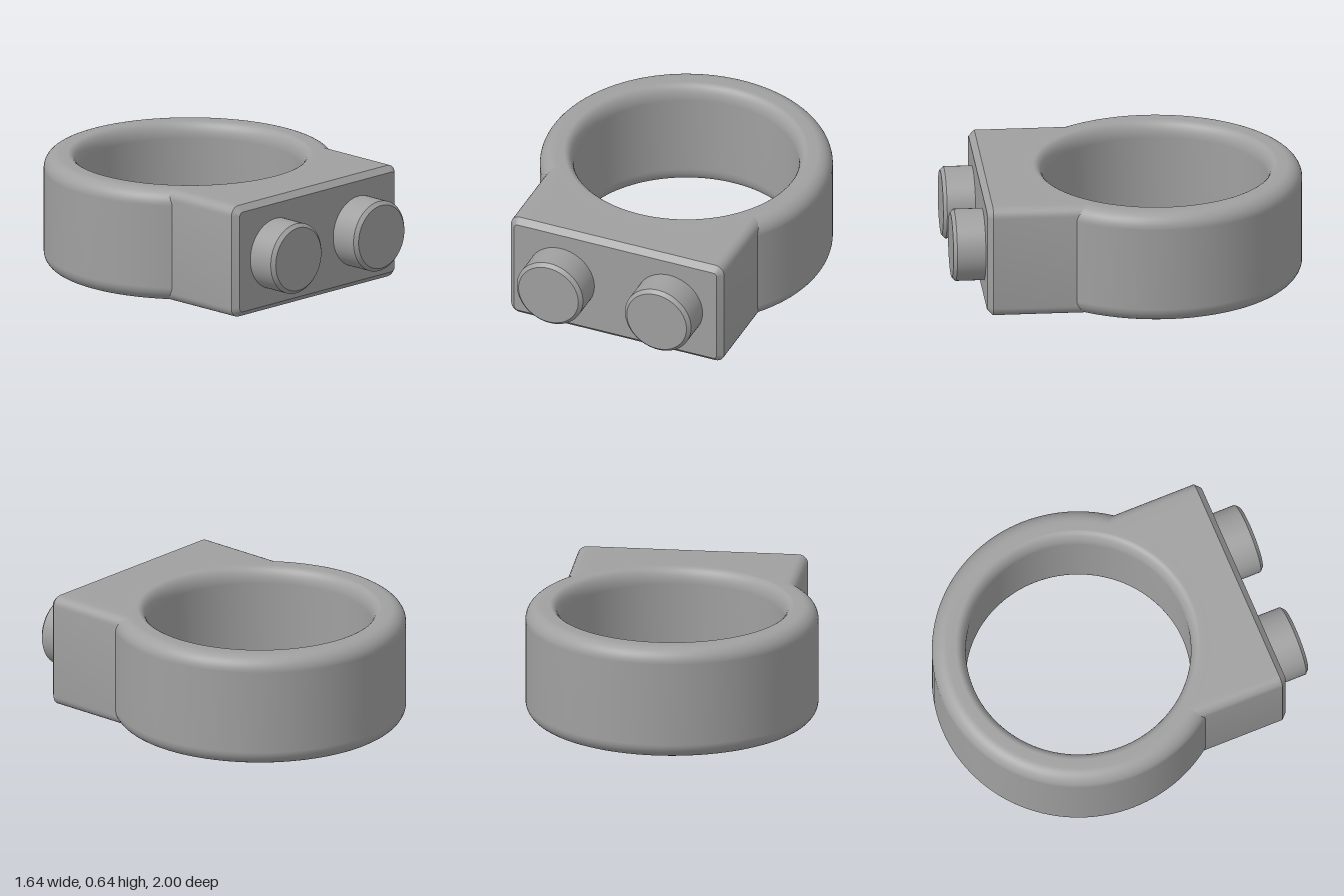
import * as THREE from 'three';
import { toCreasedNormals } from 'three/addons/utils/BufferGeometryUtils.js';

const HEIGHT = 0.645;
const RING_Z = -0.18;

// Quarter-ellipse points for the band's rounded edges
function arc(cx, cy, rx, ry, from, to, steps) {
  return Array.from({ length: steps + 1 }, (_, i) => {
    const a = THREE.MathUtils.degToRad(from + ((to - from) * i) / steps);
    return new THREE.Vector2(cx + rx * Math.cos(a), cy + ry * Math.sin(a));
  });
}

// Band: closed profile turned about y, large outer and small inner rounding
function bandGeometry() {
  const inner = 0.63, outer = 0.82, f = 0.085, gx = 0.055, gy = 0.09;
  const profile = [
    new THREE.Vector2(inner, HEIGHT / 2),
    ...arc(inner + gx, gy, gx, gy, 180, 270, 8),
    ...arc(outer - f, f, f, f, -90, 0, 10),
    ...arc(outer - f, HEIGHT - f, f, f, 0, 90, 10),
    ...arc(inner + gx, HEIGHT - gy, gx, gy, 90, 180, 8),
    new THREE.Vector2(inner, HEIGHT / 2),
  ];
  return new THREE.LatheGeometry(profile, 128);
}

// Rounded rectangle outline (counterclockwise), with the long edges subdivided
function outline(w, h, r) {
  const pts = [];
  const cx = w - r, cy = h - r, n = 24;
  const edge = (sign) => {
    for (let i = 1; i < n; i++) pts.push(new THREE.Vector2(sign * cx * (1 - (2 * i) / n), sign * h));
  };
  pts.push(...arc(cx, cy, r, r, 0, 90, 6));
  edge(1);
  pts.push(...arc(-cx, cy, r, r, 90, 180, 6), ...arc(-cx, -cy, r, r, 180, 270, 6));
  edge(-1);
  pts.push(...arc(cx, -cy, r, r, 270, 360, 6));
  return pts;
}

// Block: lofted from a back edge hidden in the band to a chamfered front
function blockGeometry() {
  const c = 0.033, half = HEIGHT / 2;
  const full = outline(0.65, half, 0.055);
  const small = outline(0.65 - c, half - c, 0.022);
  const at = (p, z) => [p.x, p.y + half, z];
  const rows = [
    full.map((p) => at(p, RING_Z + Math.sqrt(0.725 ** 2 - p.x ** 2))),
    full.map((p) => at(p, 0.82 - c)),
    small.map((p) => at(p, 0.82)),
  ];
  const out = [];
  const n = full.length;
  for (let i = 0; i < n; i++) {
    const j = (i + 1) % n;
    for (let k = 0; k < 2; k++) {
      const a = rows[k][i], b = rows[k][j], d = rows[k + 1][i], e = rows[k + 1][j];
      out.push(...a, ...b, ...e, ...a, ...e, ...d);
    }
    out.push(0, half, 0.82, ...rows[2][i], ...rows[2][j]);
  }
  const g = new THREE.BufferGeometry();
  g.setAttribute('position', new THREE.Float32BufferAttribute(out, 3));
  return toCreasedNormals(g, 0.5);
}

// Stud: short cylinder with a chamfered tip, pointing to the front
function studGeometry() {
  const r = 0.202, c = 0.02;
  const profile = [[r, 0.78], [r, 1 - c], [r - c, 1], [0, 1]].map(([x, y]) => new THREE.Vector2(x, y));
  const g = toCreasedNormals(new THREE.LatheGeometry(profile, 64), 0.5);
  return g.rotateX(Math.PI / 2);
}

export function createModel() {
  const grey = new THREE.MeshStandardMaterial({ color: 0xa0a0a0 });
  grey.name = 'grey';
  const model = new THREE.Group();
  model.name = 'ringWithStuds';
  const add = (name, geometry, x = 0, y = 0, z = 0) => {
    const mesh = new THREE.Mesh(geometry, grey);
    mesh.name = name;
    mesh.position.set(x, y, z);
    model.add(mesh);
  };

  add('band', bandGeometry(), 0, 0, RING_Z);
  add('frontBlock', blockGeometry());
  const stud = studGeometry();
  add('leftStud', stud, 0.33, HEIGHT / 2, 0);
  add('rightStud', stud, -0.33, HEIGHT / 2, 0);
  return model;
}
